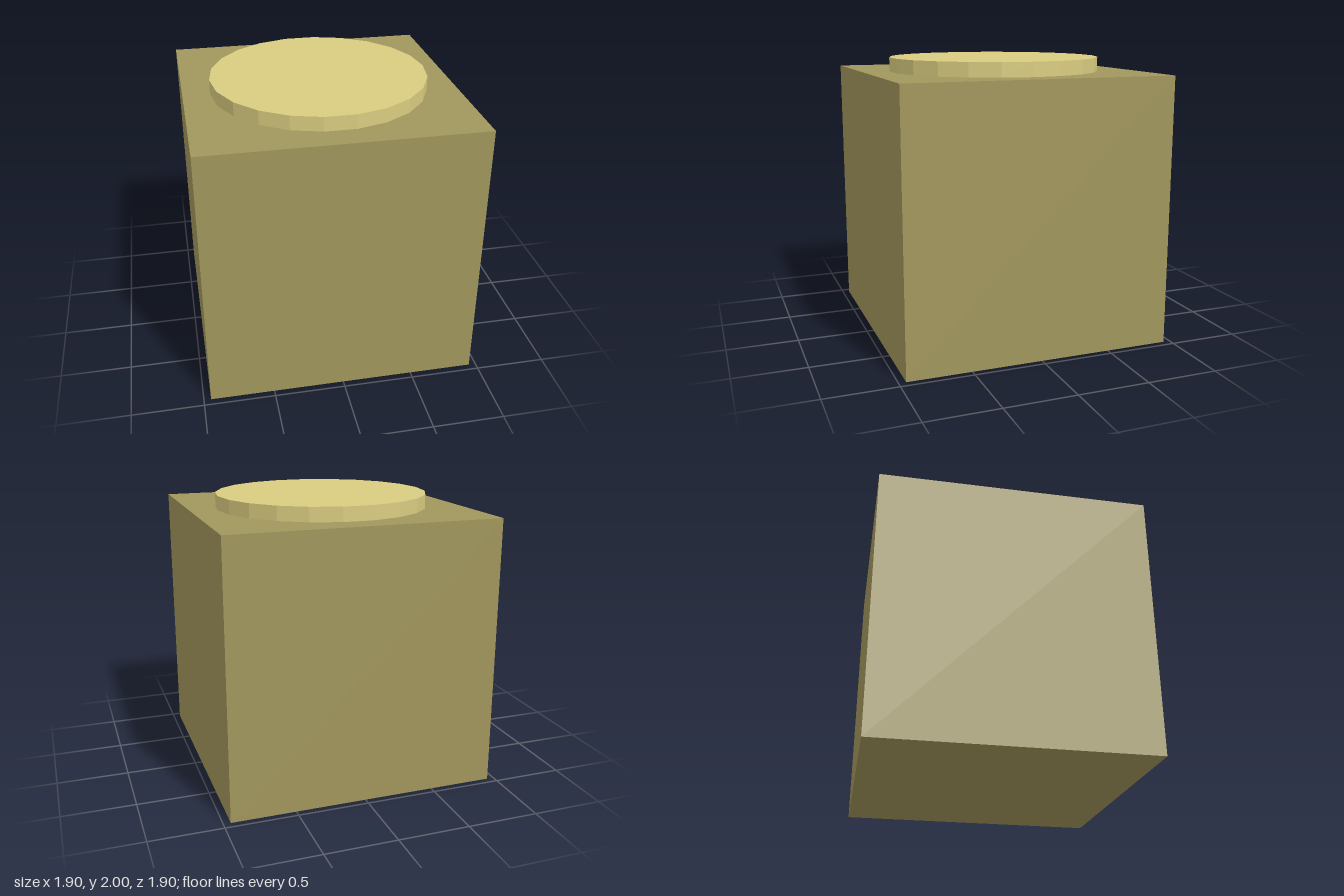
import * as THREE from 'three';

const BODY = 1.9;        // edge of the cube
const CAP_RADIUS = 0.76;
const CAP_HEIGHT = 0.1;

function part(name, geometry, color, y) {
  const material = new THREE.MeshStandardMaterial({ color, flatShading: true });
  const mesh = new THREE.Mesh(geometry, material);
  mesh.name = name;
  mesh.position.y = y;
  return mesh;
}

export function createModel() {
  const model = new THREE.Group();
  model.name = 'cubeWithRoundCap';

  // Cube body standing on the ground
  model.add(part('body', new THREE.BoxGeometry(BODY, BODY, BODY), 0xa1965c, BODY / 2));

  // Flat 22-sided disc on top, with corners on the x axis
  const disc = new THREE.CylinderGeometry(CAP_RADIUS, CAP_RADIUS, CAP_HEIGHT, 22);
  disc.rotateY(Math.PI / 2);
  model.add(part('topDisc', disc, 0xd9cc80, BODY + CAP_HEIGHT / 2));

  return model;
}
